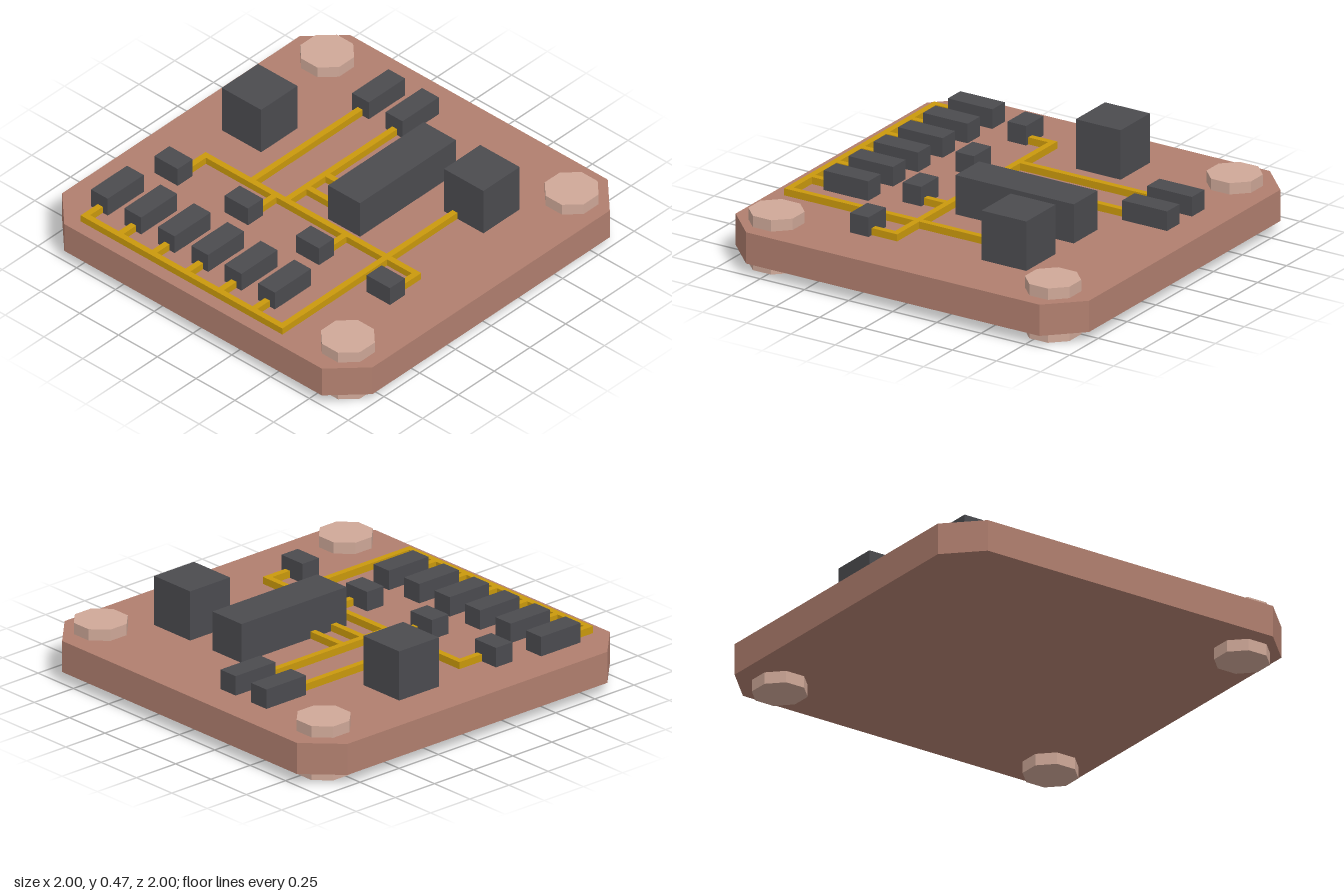
import * as THREE from 'three';

const mat = (name, color) => {
  const m = new THREE.MeshStandardMaterial({ color });
  m.name = name;
  return m;
};

export function createModel() {
  const copper = mat('boardCopper', 0xb17f6f);
  const pale = mat('paleRivet', 0xcfa898);
  const dark = mat('darkChip', 0x4b4b4f);
  const gold = mat('goldTrace', 0xca990c);
  const model = new THREE.Group();
  model.name = 'circuitBoard';
  const BOTTOM = 0.06, TOP = 0.22;

  const add = (name, geometry, material, parent = model) => {
    const mesh = new THREE.Mesh(geometry, material);
    mesh.name = name;
    parent.add(mesh);
    return mesh;
  };
  const group = (name) => {
    const g = new THREE.Group();
    g.name = name;
    model.add(g);
    return g;
  };
  // Box standing on the board, given by its x and z extents and top height
  const block = (name, x0, x1, z0, z1, top, material, parent) =>
    add(name, new THREE.BoxGeometry(x1 - x0, top - TOP, z1 - z0), material, parent)
      .position.set((x0 + x1) / 2, (top + TOP) / 2, (z0 + z1) / 2);

  // Board with chamfered corners
  const c = 0.83;
  const outline = new THREE.Shape([
    [c, -1], [1, -c], [1, c], [c, 1], [-c, 1], [-1, c], [-1, -c], [-c, -1],
  ].map(([x, y]) => new THREE.Vector2(x, y)));
  const board = new THREE.ExtrudeGeometry(outline, { depth: TOP - BOTTOM, bevelEnabled: false });
  board.rotateX(-Math.PI / 2).translate(0, BOTTOM, 0);
  add('board', board, copper);

  // Octagonal rivets passing through three corners
  const rivets = group('rivets');
  const rivet = new THREE.CylinderGeometry(0.136, 0.136, 0.278, 8).toNonIndexed();
  rivet.rotateY(Math.PI / 8).computeVertexNormals();
  for (const [x, z] of [[0.778, -0.774], [0.778, 0.802], [-0.787, 0.802]])
    add('rivet', rivet, pale, rivets).position.set(x, 0.139, z);

  // Components
  const chips = group('chips');
  const LOW = 0.32;
  for (let i = 0; i < 6; i++) {
    const z = -0.777 + i * 0.2155;
    block('leftChip', -0.812, -0.56, z - 0.054, z + 0.054, LOW, dark, chips);
  }
  for (const z of [-0.711, -0.258, 0.2, 0.657])
    block('smallChip', -0.417, -0.312, z - 0.075, z + 0.075, LOW, dark, chips);
  for (const z of [-0.375, -0.158])
    block('rightChip', 0.578, 0.832, z - 0.054, z + 0.054, LOW, dark, chips);
  block('backCube', 0.043, 0.297, -0.776, -0.522, 0.473, dark, chips);
  block('frontCube', 0.293, 0.547, 0.426, 0.68, 0.473, dark, chips);
  block('mainChip', -0.123, 0.547, 0.062, 0.268, 0.42, dark, chips);

  // Traces
  const traces = group('traces');
  const W = 0.016, H = 0.256;
  const alongX = (x0, x1, z) => block('trace', x0, x1, z - W, z + W, H, gold, traces);
  const alongZ = (x, z0, z1) => block('trace', x - W, x + W, z0, z1, H, gold, traces);
  alongZ(-0.916, -0.787, 0.513);
  for (let i = 0; i < 6; i++) alongX(-0.9, -0.812, -0.771 + i * 0.2155);
  alongX(-0.9, -0.2, 0.497);
  alongX(-0.168, 0.293, 0.497);
  alongZ(-0.184, -0.686, 0.704);
  for (const z of [-0.67, -0.216, 0.236, 0.688]) alongX(-0.312, -0.2, z);
  for (const z of [-0.377, -0.154]) alongX(-0.168, 0.578, z);
  for (const x of [-0.041, 0.092]) alongZ(x, -0.138, 0.062);

  return model;
}
